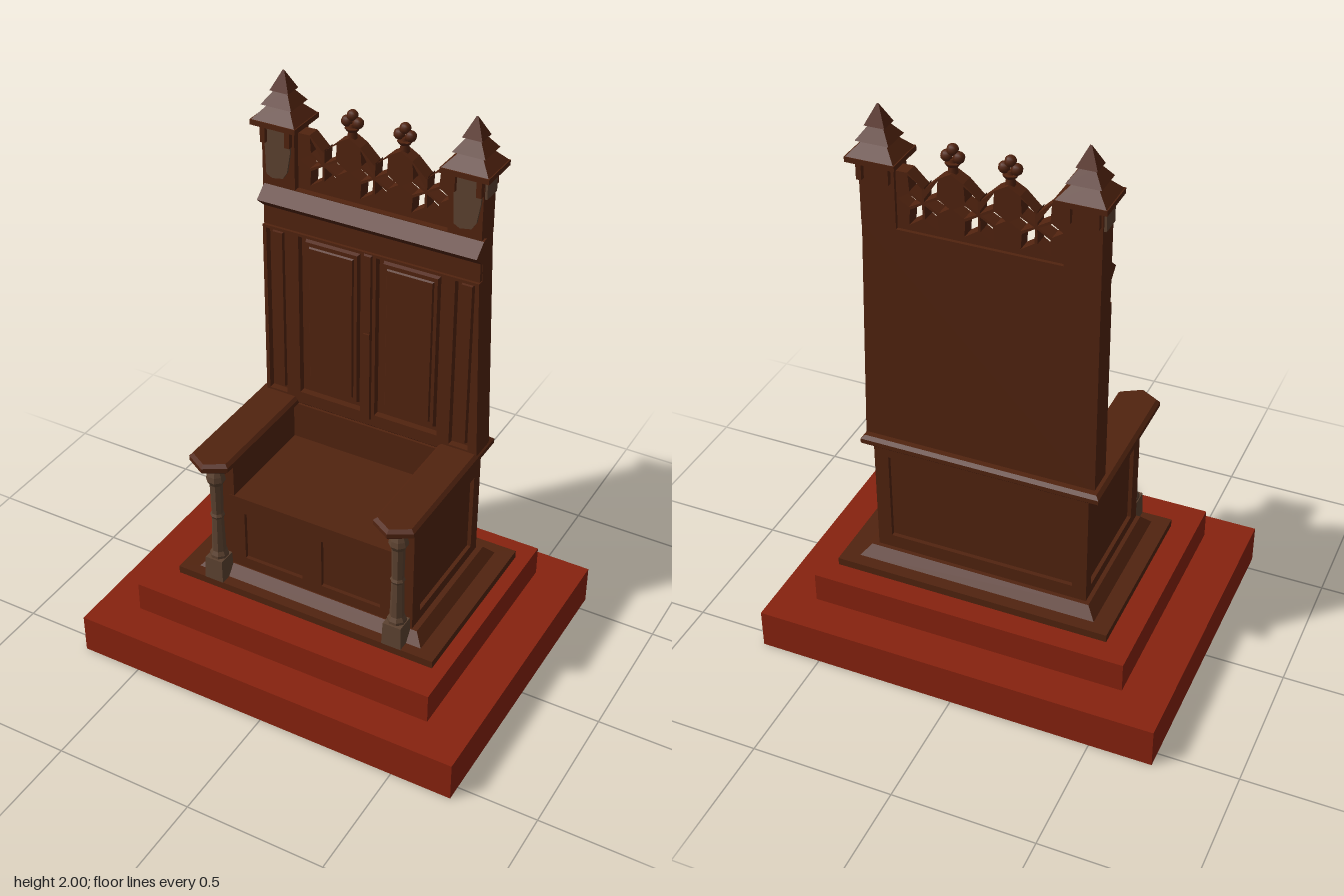
import * as THREE from 'three';

const mat = (name, color) => Object.assign(new THREE.MeshStandardMaterial({ color }), { name });

export function createModel() {
  const model = new THREE.Group();
  const wood = mat('dark wood', 0x51230f);
  const red = mat('red step', 0x87220e);
  const stone = mat('weathered carving', 0x5c4230);

  const add = (name, geo, material = wood, parent = model) => {
    const mesh = new THREE.Mesh(geo, material);
    mesh.name = name;
    parent.add(mesh);
    return mesh;
  };

  // Box from limits; the face at the positive end of one axis may be inset.
  const slab = (name, [x0, x1], [y0, y1], [z0, z1], material = wood, inset = 0, axis = 'y') => {
    const g0 = new THREE.BoxGeometry(x1 - x0, y1 - y0, z1 - z0);
    const p = g0.attributes.position;
    for (let i = 0; inset && i < p.count; i++) {
      const v = new THREE.Vector3().fromBufferAttribute(p, i);
      if (v[axis] < 0) continue;
      for (const a of ['x', 'y', 'z']) if (a !== axis) v[a] -= Math.sign(v[a]) * inset;
      p.setXYZ(i, v.x, v.y, v.z);
    }
    g0.translate((x0 + x1) / 2, (y0 + y1) / 2, (z0 + z1) / 2);
    g0.computeVertexNormals();
    return add(name, g0, material);
  };

  const poly = (pts) => new THREE.Shape(pts.map(([x, y]) => new THREE.Vector2(x, y)));
  const rect = ([x0, x1], [y0, y1]) => [[x0, y0], [x1, y0], [x1, y1], [x0, y1]];
  const plate = (name, outline, holes, depth, material = wood) => {
    const shape = poly(outline);
    shape.holes = holes.map((h) => new THREE.Path(poly(h).getPoints()));
    return add(name, new THREE.ExtrudeGeometry(shape, { depth, bevelEnabled: false }), material);
  };

  // Dais and plinth
  slab('lowerStep', [-0.72, 0.717], [0, 0.145], [-0.555, 0.555], red);
  slab('upperStep', [-0.565, 0.565], [0.16, 0.27], [-0.43, 0.43], red);
  slab('plinth', [-0.475, 0.515], [0.268, 0.298], [-0.347, 0.305]);
  slab('plinthMoulding', [-0.413, 0.453], [0.298, 0.335], [-0.302, 0.266], wood, 0.032);

  // Chest below the seat, with open panel frames on all four sides
  slab('chestCore', [-0.35, 0.385], [0.32, 0.61], [-0.24, 0.216]);
  slab('seat', [-0.3, 0.335], [0.605, 0.632], [-0.2, 0.232]);
  plate('chestFrontFrame', rect([-0.3, 0.335], [0.32, 0.607]),
    [rect([-0.245, -0.02], [0.375, 0.567]), rect([0.055, 0.28], [0.375, 0.567])], 0.015).position.z = 0.215;
  slab('leftArmWall', [0.318, 0.387], [0.32, 0.772], [-0.24, 0.23]);
  slab('rightArmWall', [-0.352, -0.283], [0.32, 0.772], [-0.24, 0.23]);
  slab('lowerBackWall', [-0.35, 0.385], [0.6, 0.772], [-0.24, -0.17]);
  for (const s of [1, -1]) {
    const u = (z) => -s * z;
    const span = (a, b) => [Math.min(u(a), u(b)), Math.max(u(a), u(b))];
    const frame = plate(s > 0 ? 'leftSideFrame' : 'rightSideFrame', rect(span(-0.255, 0.23), [0.32, 0.772]),
      [rect(span(-0.21, 0.175), [0.372, 0.67])], 0.015);
    frame.rotation.y = s * Math.PI / 2;
    frame.position.x = s > 0 ? 0.386 : -0.351;
  }
  const rear = plate('rearFrame', rect([-0.4, 0.365], [0.32, 0.772]), [rect([-0.35, 0.315], [0.385, 0.72])], 0.016);
  rear.rotation.y = Math.PI;
  rear.position.z = -0.239;

  // Armrests joined by a rear ledge
  const armShape = poly([[-0.41, -0.288], [0.432, -0.288], [0.432, 0.298], [0.358, 0.342], [0.285, 0.298],
    [0.285, -0.17], [-0.26, -0.17], [-0.26, 0.298], [-0.335, 0.342], [-0.41, 0.298]]);
  const arms = add('armrests', new THREE.ExtrudeGeometry(armShape,
    { depth: 0.016, bevelSize: 0.012, bevelOffset: -0.012, bevelThickness: 0.011, bevelSegments: 1 }));
  arms.rotation.x = Math.PI / 2;
  arms.position.y = 0.797;

  // Carved columns under the arm tips
  const profile = [[0, 0.38], [0.033, 0.38], [0.033, 0.395], [0.025, 0.41], [0.021, 0.55], [0.026, 0.56],
    [0.021, 0.57], [0.023, 0.69], [0.034, 0.71], [0.03, 0.73], [0.012, 0.772], [0, 0.772]];
  for (const x of [-0.33, 0.362]) {
    slab('columnPedestal', [x - 0.036, x + 0.036], [0.298, 0.385], [0.234, 0.306], stone, 0.003);
    const geo = new THREE.LatheGeometry(profile.map(([r, y]) => new THREE.Vector2(r, y)), 8, Math.PI / 8).toNonIndexed();
    geo.computeVertexNormals();
    add('column', geo, stone).position.set(x, 0, 0.265);
  }

  // Tall back: slightly flared on the left, with sunk panels on the front
  const edge = (y) => 0.427 - (y - 0.79) * 0.034;
  const outline = [[-0.385, 0.79], [edge(0.79), 0.79], [edge(1.61), 1.61], [-0.385, 1.61]];
  plate('backBoard', outline, [], 0.07).position.z = -0.255;
  plate('backFrame', [[-0.385, 0.79], [edge(0.79), 0.79], [edge(1.46), 1.46], [-0.385, 1.46]], [
    rect([-0.372, -0.302], [0.815, 1.45]), rect([-0.25, -0.015], [0.835, 1.45]),
    rect([0.04, 0.277], [0.835, 1.45]), rect([0.322, 0.393], [0.815, 1.45])], 0.026).position.z = -0.186;
  plate('backTopRail', rect([-0.385, edge(1.53)], [1.46, 1.61]), [], 0.016).position.z = -0.186;
  for (const x of [[-0.237, -0.028], [0.053, 0.264]]) {
    slab('doorPanel', x, [0.85, 1.437], [-0.19, -0.172], wood, 0.008, 'z');
    const inner = [x[0] + 0.018, x[1] - 0.018];
    slab('doorField', inner, [0.87, 1.417], [-0.175, -0.166], wood, 0.006, 'z');
  }
  for (const x of [[-0.36, -0.314], [0.334, 0.381]])
    slab('sidePanel', x, [0.825, 1.44], [-0.19, -0.172], wood, 0.005, 'z');
  slab('centreBead', [-0.008, 0.032], [0.81, 1.46], [-0.17, -0.152], wood, 0.008, 'z');
  slab('latch', [0.002, 0.024], [1.14, 1.16], [-0.155, -0.146]);

  // Cornice
  const cornice = plate('cornice', [[0.185, 1.525], [0.165, 1.53], [0.122, 1.568], [0.17, 1.608], [0.19, 1.61]], [], 0.79);
  cornice.rotation.y = Math.PI / 2;
  cornice.position.x = -0.381;

  // Corner posts with carved plates and stepped pinnacles
  [[-0.385, -0.265, -0.325], [0.283, 0.401, 0.348]].forEach(([x0, x1, cx], i) => {
    slab('post', [x0, x1], [1.6, 1.84], [-0.255, -0.17]);
    const shield = [[-0.048, 1.835], [-0.042, 1.65], [-0.02, 1.638], [0.02, 1.645], [0.036, 1.67], [0.048, 1.74], [0.048, 1.835]];
    plate('postCarving', shield.slice().reverse(), [], 0.008, stone).position.set(cx, 0, -0.17);
    const side = plate('sideCarving', rect([-0.035, 0.035], [1.75, 1.835]), [], 0.008, stone);
    side.rotation.y = (i ? 1 : -1) * Math.PI / 2;
    side.position.set(i ? x1 : x0, 0, -0.212);
    for (const z of [-0.157, -0.263]) for (const s of [-1, 1])
      slab('pendant', [cx + s * 0.045 - 0.009, cx + s * 0.045 + 0.009], [1.765, 1.84], [z - 0.009, z + 0.009]);
    slab('capBase', [cx - 0.083, cx + 0.083], [1.825, 1.843], [-0.287, -0.135]);
    // Each tier: base half width, top half width, bottom, top
    for (const [r, t, y0, y1] of [[0.08, 0.032, 1.842, 1.892], [0.056, 0.02, 1.89, 1.937], [0.034, 0.001, 1.935, 2]])
      slab('pinnacleTier', [cx - r, cx + r], [y0, y1], [-0.212 - r * 0.93, -0.212 + r * 0.93], wood, (r - t) * 0.95);
  });

  // Pierced tracery: three six-petalled stars under a zigzag crest
  const stars = [-0.172, 0.011, 0.194];
  const crest = [[0.29, 1.6], [0.29, 1.805]];
  for (const c of stars.slice().reverse()) {
    crest.push([c + 0.05, 1.806], [c, 1.757], [c - 0.05, 1.806]);
    if (c > -0.1) crest.push([c - 0.0915, 1.83]);
  }
  crest.push([-0.27, 1.805], [-0.27, 1.6]);
  const petals = [];
  for (const c of stars) for (let k = 0; k < 6; k++) {
    const a = k * Math.PI / 3;
    const len = k % 3 ? 0.098 : 0.086;
    petals.push([[0.007, 0], [0.05, -0.0235], [len, 0], [0.05, 0.0235]].map(([r, w]) =>
      [c + r * Math.cos(a) - w * Math.sin(a), 1.713 + r * Math.sin(a) + w * Math.cos(a)]));
  }
  plate('tracery', crest.reverse(), petals, 0.05).position.z = -0.243;

  // Trefoil finials on the crest
  for (const x of [-0.08, 0.105]) {
    const finial = new THREE.Group();
    finial.name = 'trefoilFinial';
    finial.position.set(x, 0, -0.217);
    model.add(finial);
    add('stem', new THREE.CylinderGeometry(0.011, 0.018, 0.06, 6), wood, finial).position.y = 1.84;
    add('collar', new THREE.CylinderGeometry(0.026, 0.018, 0.012, 8), wood, finial).position.y = 1.853;
    for (const [dx, y] of [[-0.02, 1.877], [0.02, 1.877], [0, 1.9]])
      add('lobe', new THREE.SphereGeometry(0.019, 10, 8), wood, finial).position.set(dx, y, 0);
  }
  return model;
}
